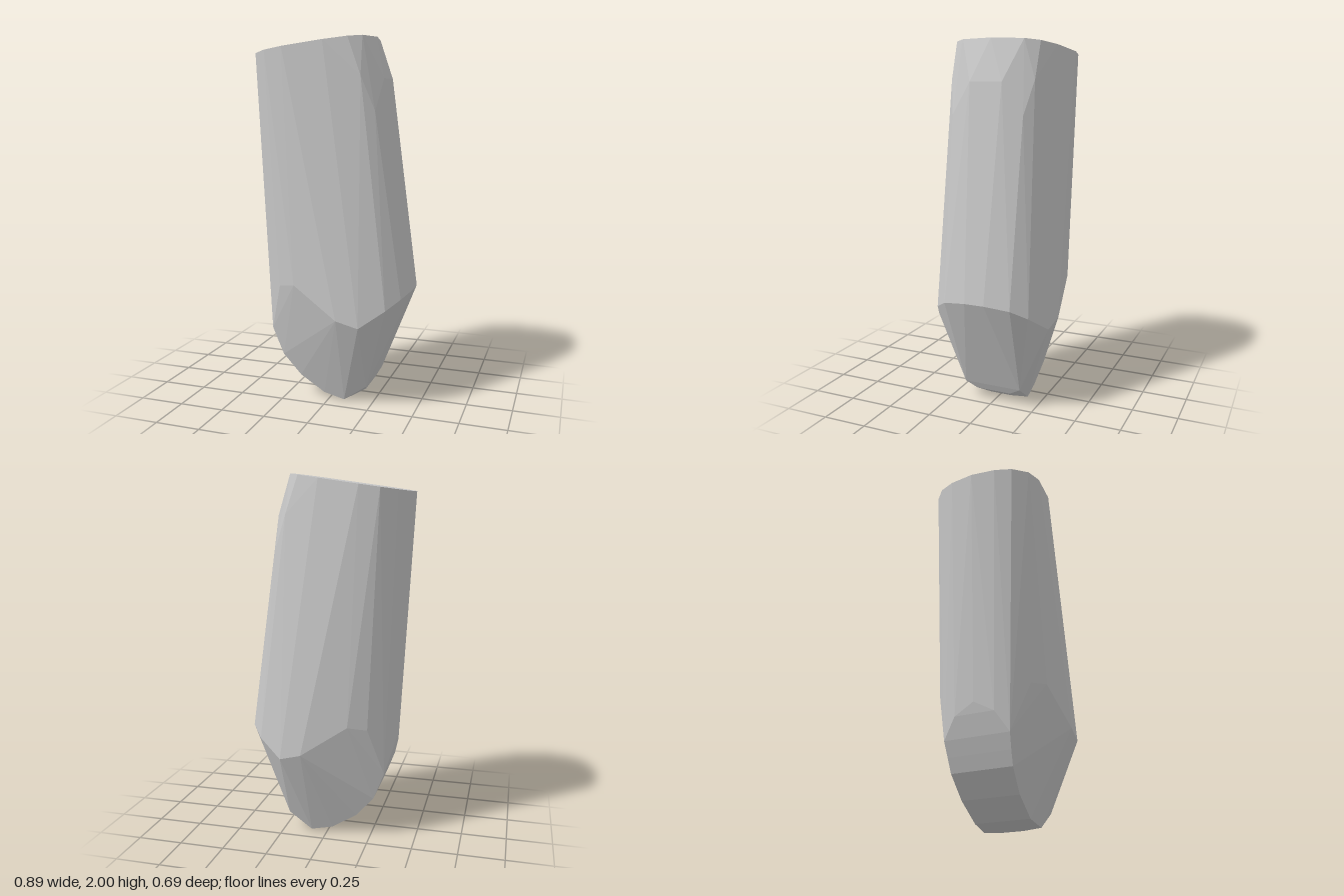
import * as THREE from 'three';
import { ConvexGeometry } from 'three/addons/geometries/ConvexGeometry.js';

export function createModel() {
  const group = new THREE.Group();
  const grey = new THREE.MeshStandardMaterial({ color: 0xc8c8c8, flatShading: true });
  grey.name = 'plain grey';

  const points = [];
  // Adds a corner and its mirror across the z = 0 plane.
  const pair = (x, y, z) => {
    points.push(new THREE.Vector3(x, y, z));
    if (z > 0) points.push(new THREE.Vector3(x, y, -z));
  };

  // Slanted flat top: outline as x, z.
  const top = [[-0.45, 0], [-0.43, 0.135], [-0.39, 0.225], [-0.31, 0.295], [-0.205, 0.315],
    [0.01, 0.287], [0.13, 0.24], [0.19, 0.173], [0.22, 0]];
  for (const [x, z] of top) pair(x, 1.905 + (x + 0.45) * 0.142, z);

  // Bulge just under the top on the left side.
  const bulge = [[0.285, 1.78, 0.09], [0.268, 1.61, 0.2], [0.2, 1.79, 0.237]];
  // Widest ring, where the shaft meets the tapered end.
  const shoulder = [[0.445, 0.64, 0.055], [0.415, 0.62, 0.19], [0.35, 0.57, 0.268],
    [0.22, 0.48, 0.332], [0.1, 0.515, 0.345], [-0.15, 0.68, 0.308], [-0.25, 0.66, 0.262],
    [-0.33, 0.39, 0.182], [-0.36, 0.5, 0.11], [-0.37, 0.56, 0]];
  // Rounded wedge at the bottom.
  const tip = [[-0.3, 0.31, 0.175], [-0.27, 0.235, 0.17], [-0.17, 0.12, 0.16],
    [-0.03, 0.03, 0.155], [0.09, 0.006, 0.163], [0.1, 0, 0.06],
    [0.2, 0.06, 0.1], [0.22, 0.1, 0.166]];
  for (const p of [...bulge, ...shoulder, ...tip]) pair(...p);

  const body = new THREE.Mesh(new ConvexGeometry(points), grey);
  body.name = 'facetedBody';
  group.add(body);
  return group;
}
